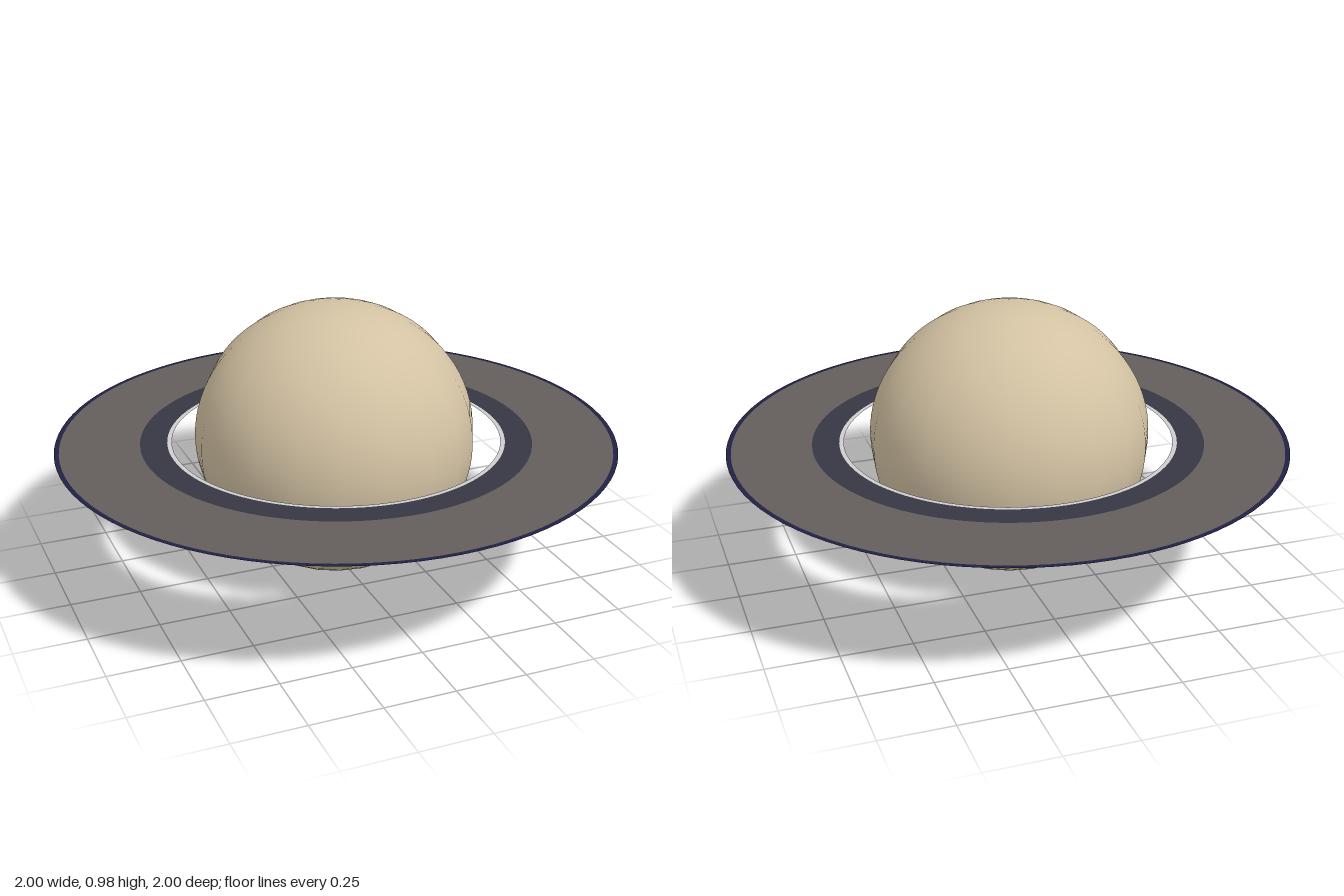
import * as THREE from 'three';

function flatMaterial(name, color, side = THREE.FrontSide) {
  const m = new THREE.MeshStandardMaterial({ color, side });
  m.name = name;
  return m;
}

export function createModel() {
  const model = new THREE.Group();
  model.name = 'ringedPlanet';

  // Slightly flattened globe with twenty meridians
  const globe = new THREE.SphereGeometry(0.5, 20, 40);
  globe.scale(1, 0.975, 1);
  const planet = new THREE.Mesh(globe, flatMaterial('sand', 0xd3c2a3));
  planet.name = 'planet';
  planet.position.set(-0.005, 0.4875, 0);
  model.add(planet);

  // Flat concentric ring bands, from the inside out
  const rings = new THREE.Group();
  rings.name = 'rings';
  rings.position.y = 0.482;
  const bands = [
    ['innerEdgeBand', 'pale grey', 0xcfcdcf, 0.588, 0.604],
    ['darkBand', 'slate', 0x373744, 0.604, 0.7],
    ['mainBand', 'warm grey', 0x635d5c, 0.7, 0.983],
    ['outerEdgeBand', 'navy', 0x212144, 0.983, 1],
  ];
  for (const [name, colorName, color, inner, outer] of bands) {
    const geometry = new THREE.RingGeometry(inner, outer, 96);
    geometry.rotateX(-Math.PI / 2);
    const band = new THREE.Mesh(geometry, flatMaterial(colorName, color, THREE.DoubleSide));
    band.name = name;
    rings.add(band);
  }
  model.add(rings);

  return model;
}
